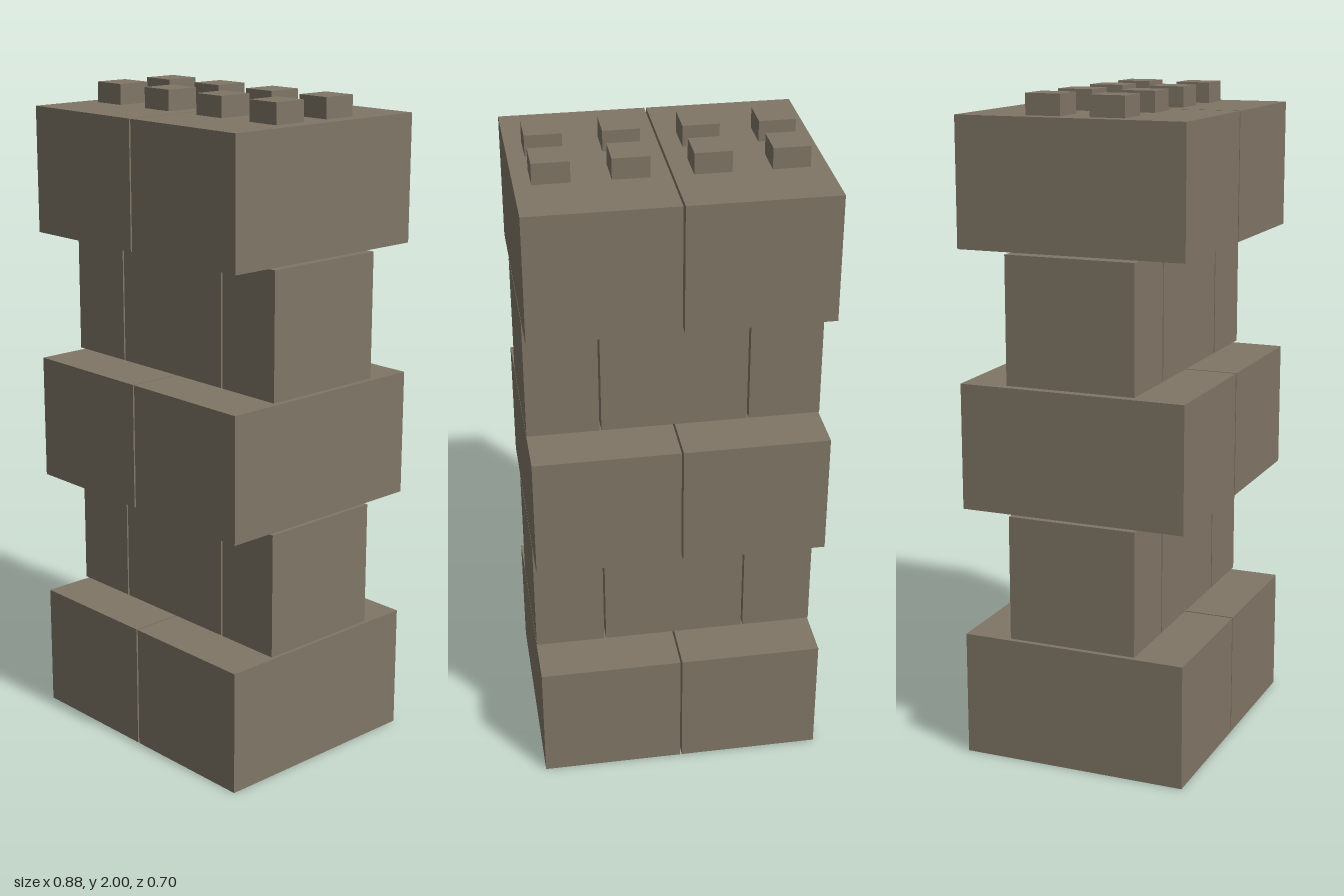
import * as THREE from 'three';

export function createModel() {
  const group = new THREE.Group();
  const stone = new THREE.MeshStandardMaterial({ color: 0x807666 });
  stone.name = 'stone';

  const halfWidth = 0.4375, gap = 0.006, height = 0.382, pitch = 0.389;

  // Box spanning x0..x1, standing on y and centred on z
  function block(name, x0, x1, y, h, z, depth) {
    const mesh = new THREE.Mesh(new THREE.BoxGeometry(x1 - x0, h, depth), stone);
    mesh.position.set((x0 + x1) / 2, y + h / 2, z);
    mesh.name = name;
    group.add(mesh);
  }

  // Five courses: deep pairs alternate with shallow rows of three
  const joint = 0.22;
  for (let i = 0; i < 5; i++) {
    const y = i * pitch;
    if (i % 2 === 0) {
      block('deepBlockRight', -halfWidth, -gap / 2, y, height, 0, 0.7);
      block('deepBlockLeft', gap / 2, halfWidth, y, height, 0, 0.7);
    } else {
      block('endBlockRight', -halfWidth, -joint - gap / 2, y, height, 0, 0.4);
      block('middleBlock', -joint + gap / 2, joint - gap / 2, y, height, 0, 0.4);
      block('endBlockLeft', joint + gap / 2, halfWidth, y, height, 0, 0.4);
    }
  }

  // Two rows of four square studs on top
  const top = 4 * pitch + height, stud = 0.107;
  for (const x of [-0.334, -0.114, 0.114, 0.334]) {
    for (const z of [-0.098, 0.098]) {
      block('topStud', x - stud / 2, x + stud / 2, top, 2 - top, z, stud);
    }
  }

  return group;
}
